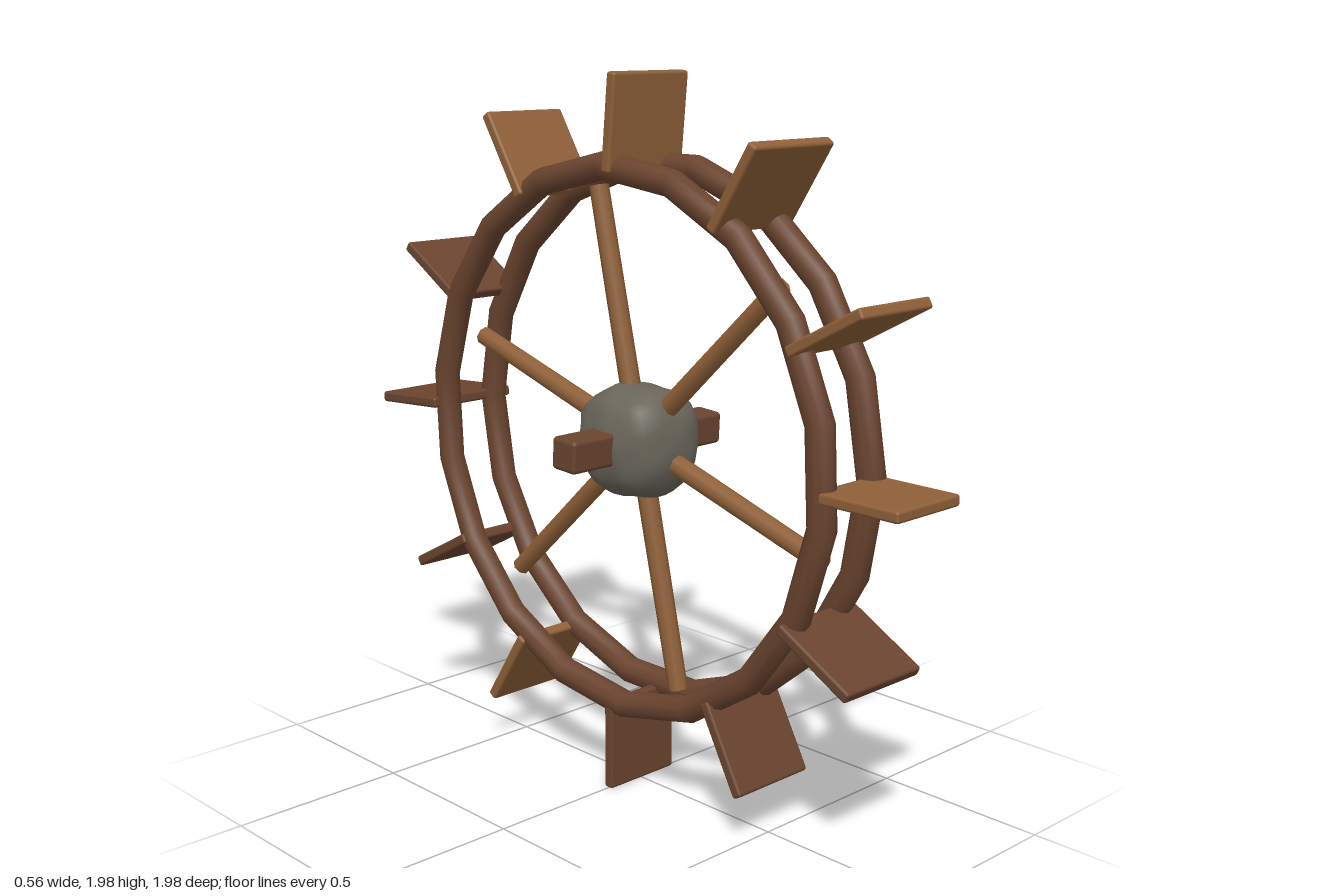
import * as THREE from 'three';
import { mergeVertices } from 'three/addons/utils/BufferGeometryUtils.js';
import { RoundedBoxGeometry } from 'three/addons/geometries/RoundedBoxGeometry.js';

const CENTRE_Y = 1.005;
const rad = THREE.MathUtils.degToRad;

function material(name, color) {
  const m = new THREE.MeshStandardMaterial({ color });
  m.name = name;
  return m;
}

function add(parent, name, geometry, mat) {
  const mesh = new THREE.Mesh(geometry, mat);
  mesh.name = name;
  parent.add(mesh);
  return mesh;
}

// Arm whose +y points outward; angle runs from the top towards the front
function arm(parent, name, degrees) {
  const group = new THREE.Group();
  group.name = name;
  group.rotation.x = rad(degrees);
  parent.add(group);
  return group;
}

// Lumpy stone: a sphere pushed towards a rounded cube, with small bumps
function stoneGeometry() {
  let geo = new THREE.IcosahedronGeometry(1, 5);
  geo.deleteAttribute('normal');
  geo.deleteAttribute('uv');
  geo = mergeVertices(geo, 1e-4);
  const pos = geo.attributes.position;
  const v = new THREE.Vector3();
  for (let i = 0; i < pos.count; i++) {
    v.fromBufferAttribute(pos, i).normalize();
    const p = 2.7;
    const cube = (Math.abs(v.x) ** p + Math.abs(v.y) ** p + Math.abs(v.z) ** p) ** (-1 / p);
    const bump = 0.022 * Math.sin(7 * v.x + 2) * Math.sin(8 * v.y + 1)
      + 0.022 * Math.sin(9 * v.z + 4 * v.y);
    v.multiplyScalar(0.153 * (cube + bump));
    pos.setXYZ(i, v.x * 0.92, v.y, v.z);
  }
  geo.computeVertexNormals();
  return geo;
}

export function createModel() {
  const model = new THREE.Group();
  model.name = 'waterWheel';
  const wheel = new THREE.Group();
  wheel.name = 'wheel';
  wheel.position.y = CENTRE_Y;
  model.add(wheel);

  const lightWood = material('light wood', 0x8f6038);
  const darkWood = material('dark wood', 0x6a442f);
  const stone = material('grey stone', 0x69655a);

  // Two faceted rims
  for (const side of [1, -1]) {
    const rim = add(wheel, side > 0 ? 'leftRim' : 'rightRim',
      new THREE.TorusGeometry(0.742, 0.038, 10, 18), darkWood);
    rim.rotation.set(0, Math.PI / 2, 0);
    rim.rotateZ(side > 0 ? 0 : rad(7));
    rim.position.set(side * 0.089, 0.005, 0);
  }

  // Hub and axle
  add(wheel, 'hub', stoneGeometry(), stone);
  const axle = add(wheel, 'axle', new RoundedBoxGeometry(0.555, 0.09, 0.09, 2, 0.012), darkWood);
  axle.rotation.x = rad(3);

  // Six spokes
  for (let i = 0; i < 6; i++) {
    const spoke = add(arm(wheel, 'spokeArm', -13 + i * 60), 'spoke',
      new THREE.CylinderGeometry(0.027, 0.029, 0.61, 8), lightWood);
    spoke.position.y = 0.395;
  }

  // Twelve paddles: angle, own tilt, width, wood
  const L = lightWood, D = darkWood;
  const paddles = [
    [1.5, 4, 0.27, L], [33, 0, 0.29, L], [62, 0, 0.265, L], [90, 0, 0.24, L],
    [118.5, 0, 0.285, D], [149, 2, 0.265, D], [180, 0, 0.24, D], [210, 3, 0.27, L],
    [238.5, 3.5, 0.27, D], [270, -4, 0.29, D], [297.5, 3.5, 0.25, D], [331.5, -4, 0.27, L],
  ];
  for (const [angle, tilt, width, mat] of paddles) {
    const paddle = add(arm(wheel, 'paddleArm', angle), 'paddle',
      new RoundedBoxGeometry(width, 0.26, 0.031, 2, 0.008), mat);
    paddle.position.y = 0.86;
    paddle.rotation.x = rad(tilt);
  }
  return model;
}
